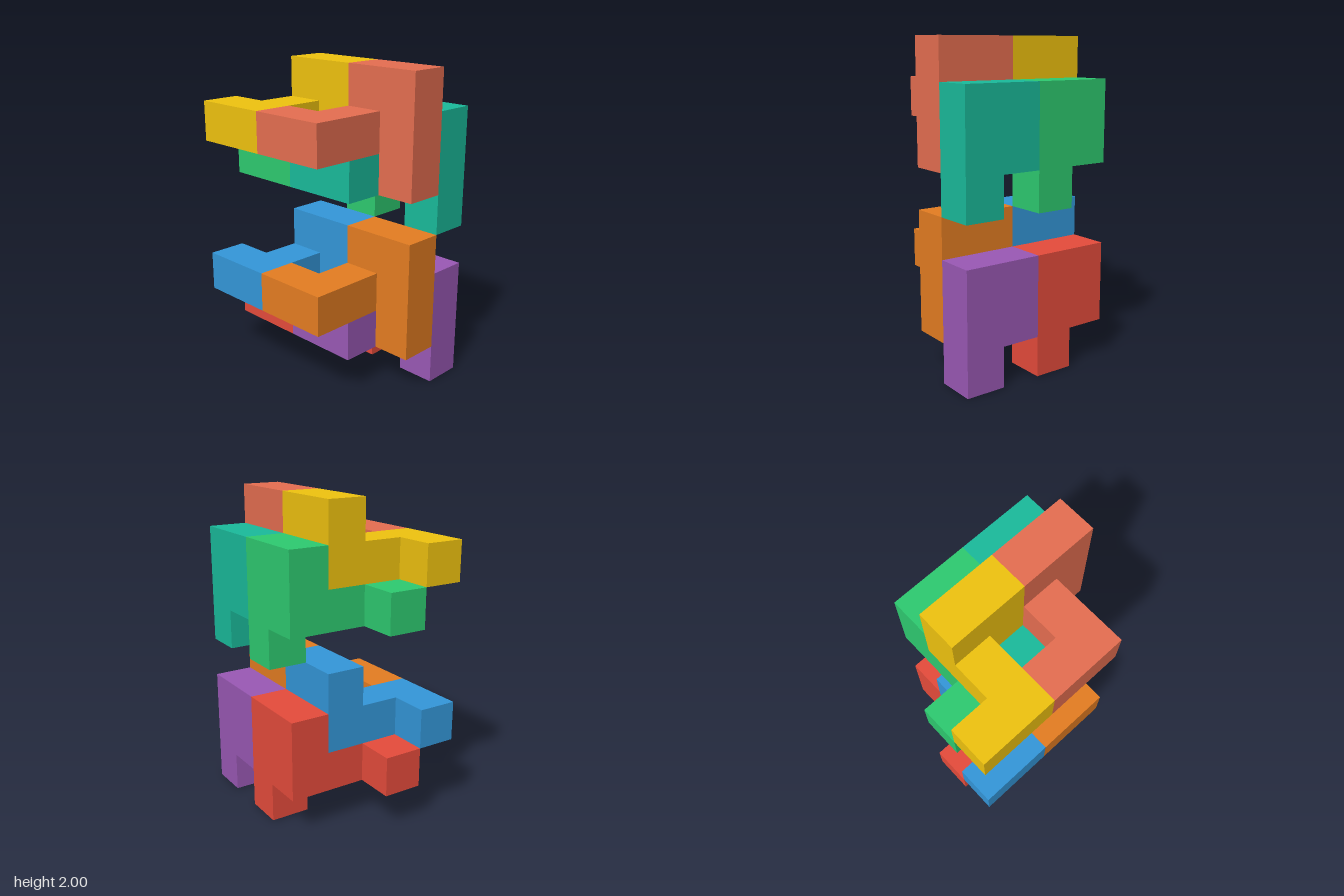
import * as THREE from 'three';
import { mergeGeometries } from 'three/addons/utils/BufferGeometryUtils.js';

const UNIT = 0.25; // edge of one cube cell

// Straight-edged outline extruded one cell deep
function slab(points) {
  const shape = new THREE.Shape(points.map(([x, y]) => new THREE.Vector2(x, y)));
  return new THREE.ExtrudeGeometry(shape, { depth: 1, bevelEnabled: false });
}

// One interlocking piece, in cells: upright plate with a tooth, and a forward L-shaped arm
function pieceGeometry() {
  const plate = slab([[1, 1], [2, 1], [2, 0], [3, 0], [3, 3], [1, 3]]);
  const arm = slab([[1, 1], [2, 1], [2, 3], [0, 3], [0, 2], [1, 2]]);
  arm.rotateX(Math.PI / 2).translate(0, 2, 0); // lay flat in the second row
  const piece = mergeGeometries([plate, arm]);
  return piece.scale(UNIT, UNIT, UNIT);
}

export function createModel() {
  const model = new THREE.Group();
  model.name = 'interlockingPieces';
  const geometry = pieceGeometry();

  // Per tier: rear pair then front pair, each listed from -x to +x
  const tiers = [
    { name: 'lowerTier', colors: [[0xe74c3c, 0x9b59b6], [0x3498db, 0xe67e22]] },
    { name: 'upperTier', colors: [[0x2ecc71, 0x1abc9c], [0xf1c40f, 0xe76f51]] },
  ];

  tiers.forEach((tier, t) => {
    const group = new THREE.Group();
    group.name = tier.name;
    group.position.y = t * 4 * UNIT;
    tier.colors.forEach((pair, row) => {
      pair.forEach((color, col) => {
        const mesh = new THREE.Mesh(geometry, new THREE.MeshStandardMaterial({ color }));
        mesh.name = (row ? 'front' : 'rear') + (col ? 'Left' : 'Right') + 'Piece';
        // Neighbours repeat two cells along x; the front pair sits one cell up and forward
        mesh.position.set((col * 2 - 2.5) * UNIT, row * UNIT, (row - 2) * UNIT);
        group.add(mesh);
      });
    });
    model.add(group);
  });

  return model;
}
